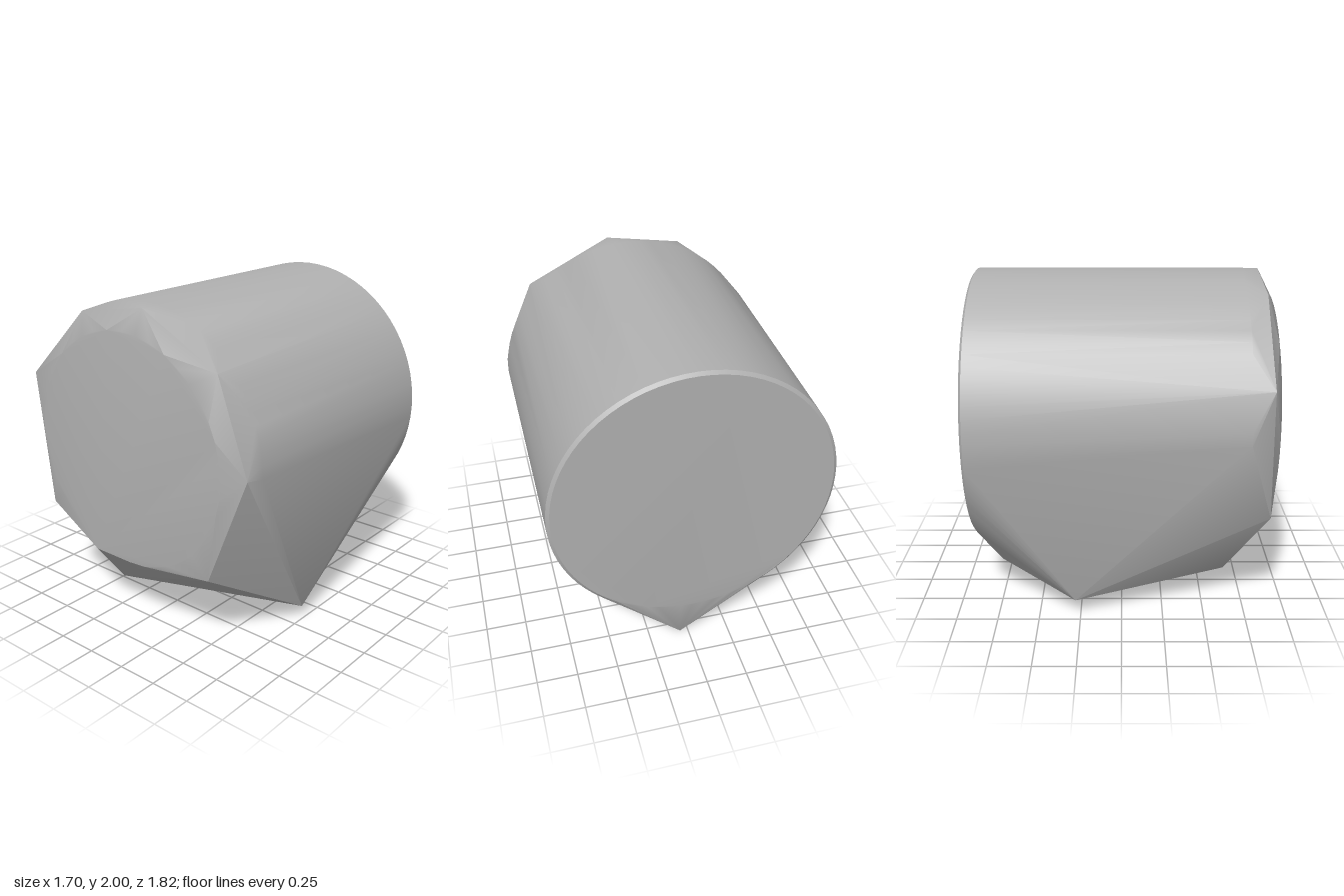
import * as THREE from 'three';
import { ConvexGeometry } from 'three/addons/geometries/ConvexGeometry.js';
import { toCreasedNormals } from 'three/addons/utils/BufferGeometryUtils.js';

const CENTER_Y = 1.15;

// Points on an upright arc about the barrel axis
function arc(radius, z, from, to, steps) {
  const points = [];
  for (let i = 0; i <= steps; i++) {
    const a = from + ((to - from) * i) / steps;
    points.push(new THREE.Vector3(radius * Math.cos(a), CENTER_Y + radius * Math.sin(a), z));
  }
  return points;
}

export function createModel() {
  const gray = new THREE.MeshStandardMaterial({ color: 0xb0b0b0 });
  gray.name = 'gray';
  const turn = Math.PI * 2;

  // Round back end, with a narrow bevel
  const back = [...arc(0.85, -0.89, 0, turn, 72), ...arc(0.83, -0.905, 0, turn, 72)];

  // Upper half of the barrel, and the flat front disc
  const barrel = arc(0.85, 0.73, 0, Math.PI, 36);
  const front = arc(0.705, 0.91, 0, turn, 40);

  // Chipped front rim, then the faceted foot
  const corners = [
    [0.84, 1.17, 0.85], [0.64, 1.72, 0.85], [0.11, 1.99, 0.85],
    [-0.37, 1.91, 0.85], [-0.83, 1.46, 0.85], [-0.69, 0.64, 0.88],
    [-0.28, 0.445, 0.91], [0.59, 0.51, 0.88],
    [-0.33, 0.13, 0.65], [0.74, 0.08, 0.16], [-0.7, 0.1, -0.28], [0.05, 0, -0.82],
  ].map((p) => new THREE.Vector3(...p));

  const hull = new ConvexGeometry([...back, ...barrel, ...front, ...corners]);
  const body = new THREE.Mesh(toCreasedNormals(hull, 0.5), gray);
  body.name = 'body';

  const group = new THREE.Group();
  group.name = 'facetedBarrel';
  group.add(body);
  return group;
}
